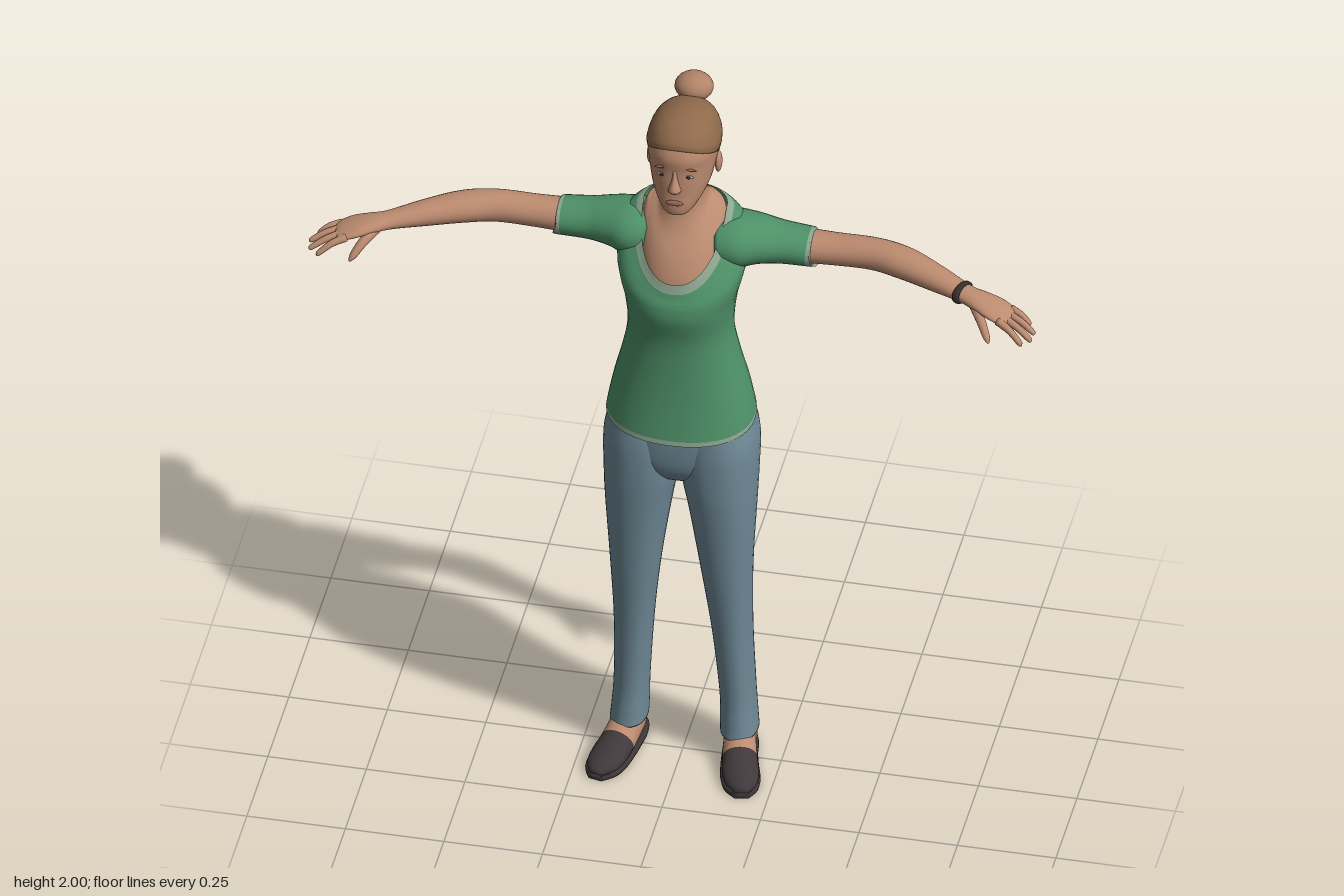
import * as THREE from 'three';

const paint = (name, color) => Object.assign(new THREE.MeshStandardMaterial({ color }), { name });
const N = 40; // points around each cross-section
const V = (x, y, z) => new THREE.Vector3(x, y, z);
const soft = (v) => Math.sign(v) * Math.abs(v) ** 0.9;

// Catmull-Rom resampling of rows of numbers, k steps per span
function smooth(keys, k) {
  const out = [];
  for (let i = 0; i < keys.length - 1; i++) {
    const [p, a, b, q] = [keys[Math.max(i - 1, 0)], keys[i], keys[i + 1], keys[Math.min(i + 2, keys.length - 1)]];
    for (let j = 0; j < k; j++) {
      const t = j / k;
      out.push(a.map((v, n) => v + 0.5 * t * (b[n] - p[n] + t * (2 * p[n] - 5 * v + 4 * b[n] - q[n] + t * (3 * (v - b[n]) + q[n] - p[n])))));
    }
  }
  out.push(keys[keys.length - 1]);
  return out;
}

// Closed loop around the vertical axis, with separate side, front and back heights
function ring([cx, rx, zf, zb, ys, yf, yb, zs]) {
  return Array.from({ length: N }, (_, j) => {
    const a = (j / N) * Math.PI * 2, c = soft(Math.cos(a)), s = soft(Math.sin(a));
    return V(cx + rx * c, ys + (s > 0 ? s * (yf - ys) : -s * (yb - ys)), zs + (s > 0 ? s * (zf - zs) : s * (zs - zb)));
  });
}
const level = (y, rx, zf, zb, cx = 0) => [cx, rx, zf, zb, y, y, y, (zf + zb) / 2];

// Loops across a path; rows are x, y, z, sideways radius, upward radius
function limbRings(keys, k, n = 24) {
  const rows = smooth(keys, k);
  return rows.map((r, i) => {
    const a = rows[Math.max(i - 1, 0)], b = rows[Math.min(i + 1, rows.length - 1)];
    const t = V(b[0] - a[0], b[1] - a[1], b[2] - a[2]).normalize();
    const side = t.clone().cross(V(0, 1, 0)).normalize(), up = side.clone().cross(t);
    return Array.from({ length: n }, (_, j) => {
      const w = (j / n) * Math.PI * 2;
      return V(r[0], r[1], r[2]).addScaledVector(side, Math.cos(w) * r[3]).addScaledVector(up, Math.sin(w) * r[4]);
    });
  });
}

// Skin a stack of loops; pick(i) gives the material index of band i
function skinLoops(name, loops, mats, { pick = () => 0, caps = true, mirror = false } = {}) {
  if (mirror) loops = loops.map((l) => l.map((p) => V(-p.x, p.y, p.z)).reverse());
  const n = loops[0].length, pos = [], idx = [], g = new THREE.BufferGeometry();
  loops.forEach((l) => l.forEach((p) => pos.push(p.x, p.y, p.z)));
  const list = Array.isArray(mats) ? mats : [mats];
  const cap = (row, flip) => {
    const m = loops[row].reduce((s, p) => s.add(p), V(0, 0, 0)).divideScalar(n), c = pos.length / 3, start = idx.length;
    pos.push(m.x, m.y, m.z);
    for (let j = 0; j < n; j++) {
      const a = row * n + j, b = row * n + (j + 1) % n;
      flip ? idx.push(c, b, a) : idx.push(c, a, b);
    }
    g.addGroup(start, n * 3, pick(Math.min(row, loops.length - 2)));
  };
  for (let i = 0; i < loops.length - 1; i++) {
    g.addGroup(idx.length, n * 6, pick(i));
    for (let j = 0; j < n; j++) {
      const a = i * n + j, b = i * n + (j + 1) % n;
      idx.push(a, a + n, b, b, a + n, b + n);
    }
  }
  if (caps) { cap(0, false); cap(loops.length - 1, true); }
  g.setAttribute('position', new THREE.Float32BufferAttribute(pos, 3));
  g.setIndex(idx);
  g.computeVertexNormals();
  const mesh = new THREE.Mesh(g, list);
  if (list.length === 1) { g.clearGroups(); mesh.material = list[0]; }
  mesh.name = name;
  return mesh;
}

export function createModel() {
  const model = new THREE.Group();
  model.name = 'woman';
  const skin = paint('skin', 0xbd8c70), hair = paint('hair', 0x8f6a4b), bunHair = paint('bunHair', 0xb08468);
  const shirt = paint('shirt', 0x4f9269), trim = paint('trim', 0x8fa792), denim = paint('denim', 0x6f8a97);
  const shoe = paint('shoe', 0x40383a), lip = paint('lips', 0xa06a5a), dark = paint('dark', 0x3a2e2a), white = paint('eyeWhite', 0xcfc2b6);
  shirt.side = trim.side = hair.side = THREE.DoubleSide;
  const add = (...args) => model.add(skinLoops(...args));
  const blob = (name, mat, p, s, rz = 0) => {
    const m = new THREE.Mesh(new THREE.SphereGeometry(1, 24, 16), mat);
    m.name = name; m.position.set(...p); m.scale.set(...s); m.rotation.z = rz;
    model.add(m);
  };

  // Shirt body, from hem to scooped neckline
  const shirtKeys = [
    [0, 0.187, 0.155, -0.122, 1.07, 1.055, 1.1, 0.016],
    [0, 0.187, 0.153, -0.121, 1.083, 1.068, 1.113, 0.016],
    [0, 0.17, 0.14, -0.112, 1.17, 1.16, 1.18, 0.014],
    [0, 0.148, 0.131, -0.094, 1.26, 1.26, 1.26, 0.016],
    [0, 0.133, 0.13, -0.08, 1.35, 1.35, 1.35, 0.02],
    [0, 0.14, 0.145, -0.094, 1.44, 1.425, 1.44, 0.015],
    [0, 0.158, 0.144, -0.112, 1.52, 1.46, 1.53, 0],
    [0, 0.165, 0.139, -0.124, 1.58, 1.478, 1.6, -0.015],
    [0, 0.152, 0.133, -0.125, 1.638, 1.49, 1.65, -0.025],
    [0, 0.122, 0.128, -0.113, 1.671, 1.505, 1.68, -0.03],
    [0, 0.105, 0.121, -0.103, 1.68, 1.53, 1.69, -0.03]];
  add('shirtBody', smooth(shirtKeys, 5).map(ring), [shirt, trim], { pick: (i) => (i < 5 || i >= 45 ? 1 : 0), caps: false });

  // Chest and neck
  add('chestAndNeck', smooth([
    [0, 0.12, 0.112, -0.09, 1.6, 1.47, 1.6, -0.02],
    [0, 0.101, 0.116, -0.099, 1.672, 1.52, 1.684, -0.03],
    [0, 0.084, 0.09, -0.096, 1.685, 1.585, 1.695, -0.03],
    [0, 0.062, 0.048, -0.095, 1.7, 1.645, 1.705, -0.032],
    [0, 0.054, 0.026, -0.093, 1.73, 1.7, 1.725, -0.033],
    [0, 0.053, 0.03, -0.092, 1.8, 1.78, 1.79, -0.03]], 5).map(ring), skin);

  // Head
  const headKeys = smooth([
    level(1.726, 0.022, 0.085, 0.04), level(1.735, 0.038, 0.1, 0), level(1.76, 0.056, 0.103, -0.045),
    level(1.79, 0.071, 0.1, -0.085), level(1.82, 0.079, 0.099, -0.11), level(1.86, 0.086, 0.097, -0.13),
    level(1.9, 0.088, 0.098, -0.133), level(1.94, 0.074, 0.08, -0.115), level(1.964, 0.049, 0.05, -0.08),
    level(1.975, 0.018, 0.01, -0.04)], 6);
  add('head', headKeys.map(ring), skin);
  const headAt = (y) => {
    const i = Math.max(1, headKeys.findIndex((r) => r[4] >= y)), a = headKeys[i - 1], b = headKeys[i];
    const t = (y - a[4]) / (b[4] - a[4]);
    return a.map((v, n) => v + t * (b[n] - v));
  };
  const facePoint = (x, y) => {
    const k = headAt(y), c = (Math.abs(x) / k[1]) ** (1 / 0.9);
    return [x, y, k[7] + Math.sqrt(1 - c * c) ** 0.9 * (k[2] - k[7])];
  };

  // Pulled-back hair follows the head above a slanted hairline
  const hairRows = Array.from({ length: 21 }, (_, i) => {
    const v = i / 20, grow = 1.01 + 0.03 * Math.min(1, v * 5);
    return Array.from({ length: N }, (_, j) => {
      const s = soft(Math.sin((j / N) * Math.PI * 2));
      const edge = 1.865 + s * (s > 0 ? 0.06 : 0.095);
      const p = ring(headAt(edge + (1.975 - edge) * v))[j], mid = V(0, 1.86, -0.02);
      return p.sub(mid).multiplyScalar(grow).add(mid);
    });
  });
  add('hair', hairRows, hair, { pick: () => 0 });
  blob('hairBun', bunHair, [0, 1.964, -0.134], [0.049, 0.036, 0.045]);
  blob('bunBase', hair, [0, 1.93, -0.118], [0.03, 0.03, 0.028]);

  // Face
  add('nose', smooth([level(1.8, 0.01, 0.104, 0.07), level(1.81, 0.017, 0.116, 0.07), level(1.82, 0.014, 0.118, 0.07),
    level(1.843, 0.008, 0.107, 0.07), level(1.868, 0.006, 0.099, 0.07)], 4).map(ring), skin);
  blob('lips', lip, facePoint(0, 1.772), [0.023, 0.008, 0.005]);
  for (const s of [1, -1]) {
    const [x, y, z] = facePoint(s * 0.034, 1.85);
    blob('eye', white, [x, y, z], [0.013, 0.005, 0.003]);
    blob('iris', dark, [x, y, z + 0.002], [0.006, 0.005, 0.003]);
    blob('eyebrow', hair, facePoint(s * 0.036, 1.872), [0.018, 0.003, 0.004], -s * 0.1);
    blob('ear', skin, [s * 0.086, 1.825, -0.022], [0.009, 0.03, 0.018]);
  }

  // Pelvis
  add('trouserSeat', smooth([level(0.9, 0.09, 0.09, -0.075), level(0.94, 0.15, 0.118, -0.1), level(1, 0.188, 0.128, -0.114),
    level(1.1, 0.18, 0.128, -0.112)], 5).map(ring), denim);

  const hand = { x: 0.838, y: 1.556, z: 0.102 };
  const tips = [[0.905, 1.535, 0.1], [0.921, 1.529, 0.128], [0.917, 1.524, 0.152], [0.896, 1.519, 0.166]];
  for (const mirror of [false, true]) {
    const side = mirror ? 'right' : 'left', opt = { mirror };
    // Trouser leg: height, inner x, outer x, front z, back z
    const leg = [[0.075, 0.093, 0.187, 0.045, -0.09], [0.11, 0.092, 0.184, 0.042, -0.092], [0.2, 0.09, 0.178, 0.042, -0.095],
      [0.4, 0.075, 0.174, 0.065, -0.082], [0.6, 0.052, 0.179, 0.095, -0.068], [0.8, 0.022, 0.19, 0.119, -0.083],
      [0.9, 0.003, 0.194, 0.128, -0.101], [1, -0.003, 0.195, 0.13, -0.114], [1.075, 0.01, 0.18, 0.122, -0.11]];
    add(side + 'TrouserLeg', smooth(leg.map(([y, a, b, f, k]) => level(y, (b - a) / 2, f, k, (a + b) / 2)), 5).map(ring), denim, opt);

    // Foot, slipper toe and sole
    const foot = [[0.136, 0.03, -0.091, 0.014, 0.02], [0.137, 0.04, -0.078, 0.031, 0.038], [0.14, 0.05, -0.04, 0.04, 0.055],
      [0.145, 0.046, 0, 0.041, 0.054], [0.155, 0.033, 0.05, 0.044, 0.04], [0.168, 0.023, 0.1, 0.046, 0.029],
      [0.179, 0.018, 0.14, 0.038, 0.022], [0.186, 0.014, 0.17, 0.014, 0.012]];
    const flat = (keys, lo, hi) => limbRings(keys, 4).map((l) => l.map((p) => V(p.x, Math.min(hi, Math.max(lo, p.y)), p.z)));
    add(side + 'Foot', flat(foot, 0.006, 1), [skin, shoe], { mirror, pick: (i) => (i < 16 ? 0 : 1) });
    add(side + 'Sole', flat(foot.map(([x, , z, r]) => [x, 0.007, z * 1.02, r + 0.004, 0.03]), 0, 0.015), shoe, opt);

    // Sleeve with trimmed cuff
    add(side + 'Sleeve', limbRings([[0.08, 1.585, -0.025, 0.075, 0.06], [0.13, 1.587, -0.032, 0.086, 0.068],
      [0.18, 1.587, -0.04, 0.075, 0.06], [0.24, 1.582, -0.045, 0.062, 0.051], [0.312, 1.579, -0.045, 0.057, 0.047],
      [0.322, 1.579, -0.045, 0.056, 0.046], [0.323, 1.579, -0.045, 0.046, 0.038]], 4), [shirt, trim], { mirror, pick: (i) => (i < 16 ? 0 : 1) });

    // Arm and palm
    add(side + 'Arm', limbRings([[0.28, 1.58, -0.045, 0.05, 0.042], [0.38, 1.582, -0.044, 0.044, 0.04], [0.48, 1.588, -0.036, 0.043, 0.04],
      [0.56, 1.588, -0.014, 0.045, 0.038], [0.65, 1.582, 0.024, 0.037, 0.031], [0.73, 1.576, 0.062, 0.029, 0.021],
      [0.77, 1.572, 0.078, 0.035, 0.019], [0.81, 1.565, 0.092, 0.042, 0.016], [0.845, 1.555, 0.105, 0.038, 0.012],
      [0.855, 1.551, 0.108, 0.03, 0.008]], 5), skin, opt);

    // Fingers and thumb
    tips.forEach(([x, y, z], i) => {
      const k = (i - 1.5) * 0.02, bx = hand.x - 0.37 * k, bz = hand.z + 0.93 * k;
      add(side + 'Finger', limbRings([[bx, hand.y, bz, 0.011, 0.011], [(bx + x) / 2, (hand.y + y) / 2 + 0.006, (bz + z) / 2, 0.009, 0.009],
        [x - 0.006, y + 0.003, z - 0.002, 0.007, 0.007], [x, y, z, 0.002, 0.002]], 4, 10), skin, opt);
    });
    add(side + 'Thumb', limbRings([[0.76, 1.566, 0.092, 0.014, 0.014], [0.785, 1.547, 0.13, 0.012, 0.012],
      [0.804, 1.522, 0.157, 0.009, 0.009], [0.811, 1.511, 0.167, 0.002, 0.002]], 4, 10), skin, opt);
  }

  // Bracelet
  add('bracelet', limbRings([[0.714, 1.577, 0.055, 0.029, 0.02], [0.717, 1.577, 0.0565, 0.035, 0.027],
    [0.727, 1.576, 0.0612, 0.035, 0.027], [0.73, 1.576, 0.0625, 0.028, 0.02]], 3), dark);
  return model;
}
